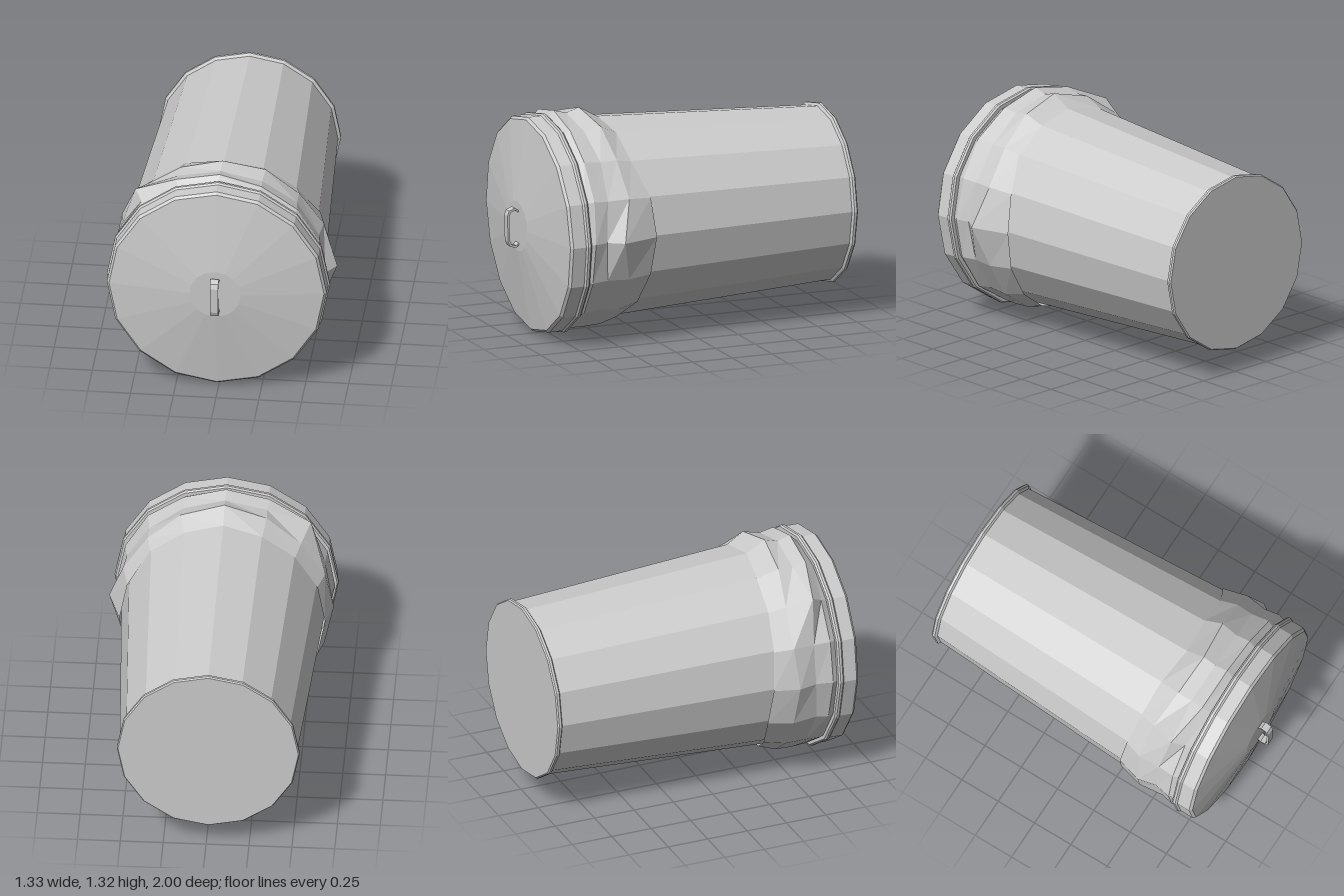
import * as THREE from 'three';

const SIDES = 16;
const CX = -0.012;
const material = new THREE.MeshStandardMaterial({ color: 0xcccccc, flatShading: true, side: THREE.DoubleSide });

// Faceted solid of revolution about z; profile is [radius, z] from back to front
function turned(name, profile) {
  const geometry = new THREE.LatheGeometry(profile.map(([r, z]) => new THREE.Vector2(r, z)), SIDES);
  geometry.rotateX(Math.PI / 2);
  const mesh = new THREE.Mesh(geometry, material);
  mesh.name = name;
  return mesh;
}

// Crumpled bag: each ring has 16 radii and depths, starting at the bottom and turning toward +x
function bagGeometry() {
  const rings = [
    { r: Array(SIDES).fill(0.598),
      z: [0.42, 0.40, 0.35, 0.32, 0.30, 0.32, 0.39, 0.40, 0.42, 0.39, 0.38, 0.36, 0.34, 0.32, 0.35, 0.40] },
    { r: [0.63, 0.63, 0.635, 0.63, 0.672, 0.635, 0.63, 0.655, 0.665, 0.645, 0.635, 0.64, 0.64, 0.635, 0.63, 0.635],
      z: [0.50, 0.51, 0.48, 0.47, 0.53, 0.47, 0.49, 0.51, 0.54, 0.52, 0.48, 0.47, 0.49, 0.47, 0.48, 0.50] },
    { r: [0.645, 0.635, 0.625, 0.62, 0.612, 0.62, 0.625, 0.63, 0.64, 0.64, 0.705, 0.63, 0.615, 0.62, 0.63, 0.64],
      z: [0.60, 0.60, 0.62, 0.60, 0.62, 0.60, 0.59, 0.61, 0.62, 0.61, 0.63, 0.60, 0.60, 0.62, 0.61, 0.60] },
    { r: [0.632, 0.635, 0.64, 0.635, 0.635, 0.635, 0.645, 0.645, 0.662, 0.66, 0.645, 0.64, 0.635, 0.635, 0.635, 0.635],
      z: [0.70, 0.69, 0.70, 0.70, 0.70, 0.69, 0.70, 0.70, 0.70, 0.69, 0.70, 0.70, 0.70, 0.69, 0.70, 0.70] },
    { r: Array(SIDES).fill(0.615), z: Array(SIDES).fill(0.745) },
  ];
  const positions = [], indices = [];
  rings.forEach(({ r, z }, row) => {
    for (let i = 0; i < SIDES; i++) {
      const a = (i / SIDES) * Math.PI * 2;
      positions.push(Math.sin(a) * r[i], -Math.cos(a) * r[i], z[i]);
      if (row === rings.length - 1) continue;
      const p = row * SIDES + i, q = row * SIDES + (i + 1) % SIDES;
      indices.push(p, q, p + SIDES, q, q + SIDES, p + SIDES);
    }
  });
  const geometry = new THREE.BufferGeometry();
  geometry.setAttribute('position', new THREE.Float32BufferAttribute(positions, 3));
  geometry.setIndex(indices);
  geometry.computeVertexNormals();
  return geometry;
}

// Bent strap; outer and inner outlines share the same rounded form
function handleGeometry() {
  const outline = (h, d, c) => [
    [-0.01, -h + 0.015], [0.004, -h + 0.012], [0.018, -h], [d - c, -h], [d - c * 0.3, -h + c * 0.3], [d, -h + c],
    [d, h - c], [d - c * 0.3, h - c * 0.3], [d - c, h], [0.018, h], [0.004, h - 0.012], [-0.01, h - 0.015],
  ].map(([x, y]) => new THREE.Vector2(x, y));
  const outer = outline(0.118, 0.07, 0.04);
  const inner = outline(0.106, 0.058, 0.034).reverse();
  const geometry = new THREE.ExtrudeGeometry(new THREE.Shape([...outer, ...inner]), { depth: 0.048, bevelEnabled: false });
  geometry.translate(0, 0, -0.024);
  geometry.rotateY(-Math.PI / 2);
  return geometry;
}

export function createModel() {
  const model = new THREE.Group();
  model.name = 'trashCan';

  // Tapered can lying on its side, with its base rim at the back
  const can = turned('canBody', [
    [0, -1], [0.526, -1], [0.533, -0.992], [0.533, -0.977], [0.517, -0.967], [0.593, 0.41], [0.605, 0.74],
  ]);
  can.position.set(CX, 0.667, 0);
  model.add(can);

  // Bag folded over the mouth
  const bag = new THREE.Mesh(bagGeometry(), material);
  bag.name = 'bagCollar';
  bag.position.set(CX, 0.66, 0);
  model.add(bag);

  // Slightly tilted lid with a rolled rim and a shallow cone
  const lid = new THREE.Group();
  lid.name = 'lid';
  lid.position.set(CX, 0.655, 0.745);
  lid.rotation.x = 0.023;
  lid.add(turned('lidShell', [
    [0.58, -0.015], [0.645, -0.015], [0.653, -0.005], [0.653, 0.01], [0.643, 0.02],
    [0.643, 0.1], [0.629, 0.115], [0.15, 0.185], [0, 0.185],
  ]));
  const handle = new THREE.Mesh(handleGeometry(), material);
  handle.name = 'lidHandle';
  handle.position.set(0, -0.005, 0.185);
  lid.add(handle);
  model.add(lid);

  return model;
}
